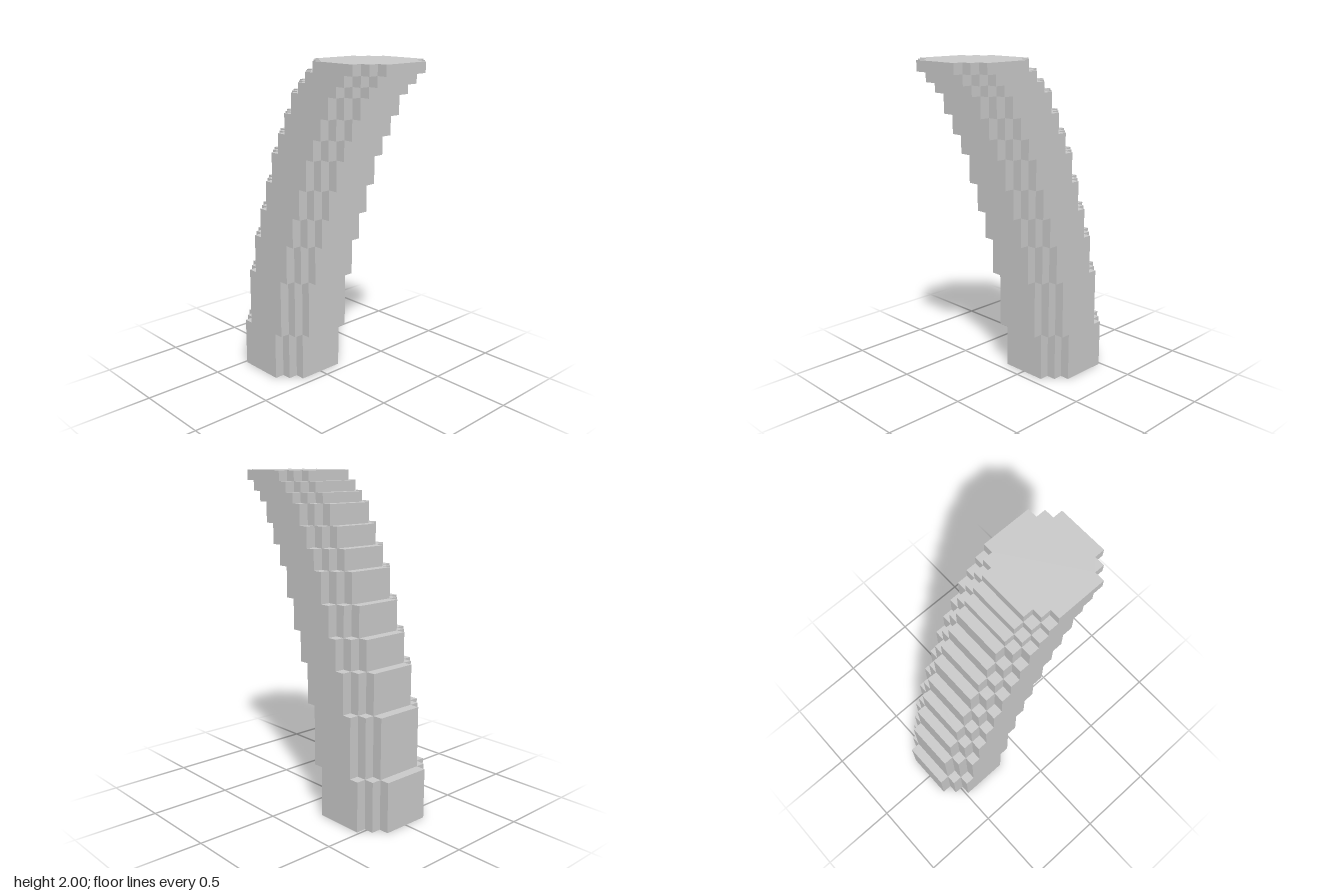
import * as THREE from 'three';

// One voxel; the column is 33 voxels tall
const U = 2 / 33;

// Stepped octagonal outline, 9 x 9 voxels with corners cut in two steps
function steppedOutline() {
  const quarter = [[4.5, 2.5], [3.5, 2.5], [3.5, 3.5], [2.5, 3.5], [2.5, 4.5]];
  const mirrored = [...quarter].reverse();
  const points = [
    ...quarter,
    ...mirrored.map(([x, y]) => [-x, y]),
    ...quarter.map(([x, y]) => [-x, -y]),
    ...mirrored.map(([x, y]) => [x, -y]),
  ];
  return new THREE.Shape(points.map(([x, y]) => new THREE.Vector2(x * U, y * U)));
}

export function createModel() {
  const group = new THREE.Group();
  group.name = 'leaningVoxelColumn';
  const material = new THREE.MeshStandardMaterial({ color: 0xcccccc, flatShading: true });
  const outline = steppedOutline();

  // Layers get thinner upwards, each shifted one voxel, so the column curves over
  const heights = [5, 6, 4, 3, 3, 3, 2, 2, 2, 1, 1, 1];
  let y = 0;
  heights.forEach((height, i) => {
    const geometry = new THREE.ExtrudeGeometry(outline, { depth: height * U, bevelEnabled: false });
    geometry.rotateX(-Math.PI / 2);
    const layer = new THREE.Mesh(geometry, material);
    layer.name = `columnLayer${i + 1}`;
    layer.position.set((i - 5.5) * U, y * U, 0);
    group.add(layer);
    y += height;
  });

  return group;
}
